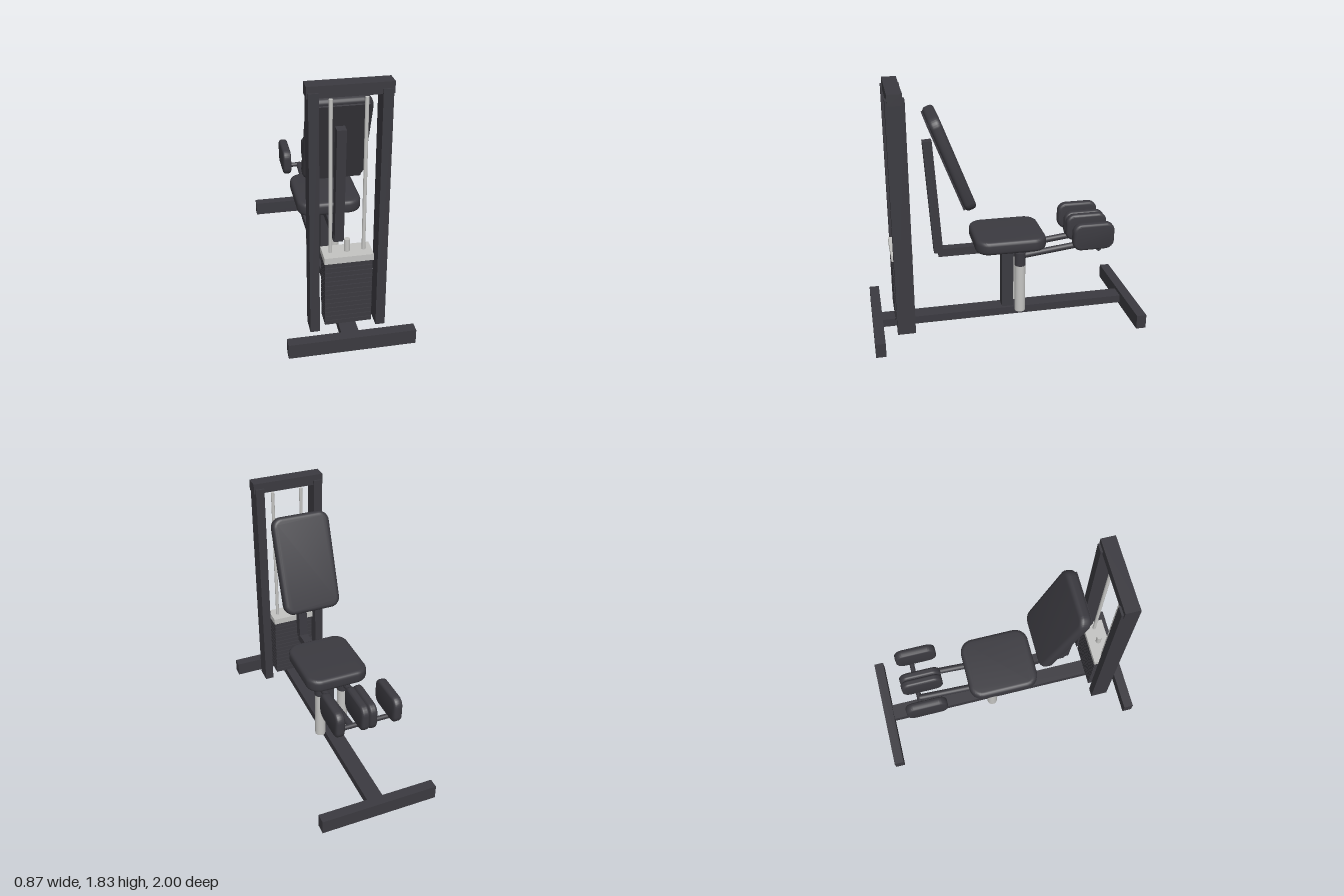
import * as THREE from 'three';
import { toCreasedNormals } from 'three/addons/utils/BufferGeometryUtils.js';

const dark = new THREE.MeshStandardMaterial({ color: 0x3b3a40 });
dark.name = 'charcoal';
const steel = new THREE.MeshStandardMaterial({ color: 0xc4c4c2 });
steel.name = 'lightSteel';

function add(parent, name, geometry, material, x = 0, y = 0, z = 0) {
  const mesh = new THREE.Mesh(geometry, material);
  mesh.name = name;
  mesh.position.set(x, y, z);
  parent.add(mesh);
  return mesh;
}

// Box given by its minimum and maximum on each axis
function box(parent, name, material, [x0, x1], [y0, y1], [z0, z1]) {
  return add(parent, name, new THREE.BoxGeometry(x1 - x0, y1 - y0, z1 - z0), material,
    (x0 + x1) / 2, (y0 + y1) / 2, (z0 + z1) / 2);
}

// Round bar between two points
function rod(parent, name, material, radius, from, to) {
  const a = new THREE.Vector3(...from), b = new THREE.Vector3(...to);
  const mesh = add(parent, name, new THREE.CylinderGeometry(radius, radius, a.distanceTo(b), 20), material);
  mesh.position.copy(a).add(b).multiplyScalar(0.5);
  mesh.quaternion.setFromUnitVectors(new THREE.Vector3(0, 1, 0), b.sub(a).normalize());
  return mesh;
}

// Cushion: rounded rectangle in XY with softened rims, centred, thickness along Z
function cushion(width, height, thickness, radius, bevel) {
  const w = width / 2 - bevel, h = height / 2 - bevel, r = radius - bevel;
  const s = new THREE.Shape();
  s.absarc(w - r, h - r, r, 0, Math.PI / 2);
  s.absarc(-w + r, h - r, r, Math.PI / 2, Math.PI);
  s.absarc(-w + r, -h + r, r, Math.PI, Math.PI * 1.5);
  s.absarc(w - r, -h + r, r, Math.PI * 1.5, Math.PI * 2);
  s.closePath();
  const g = new THREE.ExtrudeGeometry(s, {
    depth: thickness - 2 * bevel, bevelEnabled: true, bevelThickness: bevel,
    bevelSize: bevel, bevelSegments: 4, curveSegments: 8,
  });
  g.translate(0, 0, bevel - thickness / 2);
  return toCreasedNormals(g, 0.6);
}

export function createModel() {
  const model = new THREE.Group();
  model.name = 'legPressMachine';

  // Base: two cross feet and a spine
  const frame = new THREE.Group();
  frame.name = 'frame';
  model.add(frame);
  box(frame, 'frontFoot', dark, [-0.435, 0.435], [0, 0.107], [0.927, 1]);
  box(frame, 'rearFoot', dark, [-0.435, 0.435], [0, 0.107], [-1, -0.927]);
  box(frame, 'spine', dark, [-0.06, 0.06], [0.02, 0.08], [-0.93, 0.93]);

  // Weight tower
  for (const s of [-1, 1]) {
    const upright = box(frame, 'upright', dark, [0.195, 0.26], [0.06, 1.79], [0.7, 0.83]);
    upright.position.x *= s;
  }
  box(frame, 'topBar', dark, [-0.27, 0.27], [1.755, 1.832], [0.715, 0.818]);

  // Weight stack with guide rods
  const stack = new THREE.Group();
  stack.name = 'weightStack';
  model.add(stack);
  const plates = 14, pitch = 0.035;
  for (let i = 0; i < plates; i++) {
    const y = 0.112 + i * pitch;
    box(stack, 'weightPlate', dark, [-0.16, 0.16], [y, y + 0.03], [0.695, 0.835]);
  }
  box(stack, 'topPlate', steel, [-0.165, 0.165], [0.602, 0.648], [0.688, 0.842]);
  for (const x of [-0.112, 0.112]) {
    rod(stack, 'guideRod', steel, 0.0125, [x, 0.09, 0.765], [x, 1.725, 0.765]);
  }
  rod(stack, 'selectorRod', steel, 0.02, [0, 0.08, 0.765], [0, 0.738, 0.765]);

  // Seat and its supports
  const seat = new THREE.Group();
  seat.name = 'seat';
  model.add(seat);
  box(seat, 'seatPost', dark, [-0.04, 0.04], [0.07, 0.6], [-0.07, 0.016]);
  box(seat, 'seatBeam', dark, [-0.033, 0.033], [0.543, 0.605], [-0.07, 0.49]);
  const seatPad = add(seat, 'seatPad', cushion(0.47, 0.525, 0.1, 0.1, 0.028), dark, 0, 0.658, -0.028);
  seatPad.rotation.x = -Math.PI / 2;

  // Backrest on a slightly leaning post
  const backPost = add(seat, 'backPost', new THREE.BoxGeometry(0.065, 0.857, 0.066), dark, 0, 1.003, 0.516);
  backPost.rotation.x = 0.066;
  const backrest = new THREE.Group();
  backrest.name = 'backrest';
  backrest.position.set(0, 1.295, 0.389);
  backrest.rotation.x = 0.363;
  seat.add(backrest);
  add(backrest, 'backPad', cushion(0.44, 0.73, 0.085, 0.075, 0.028), dark);
  add(backrest, 'backingPlate', new THREE.BoxGeometry(0.38, 0.67, 0.02), dark, 0, 0, 0.045);

  // Mirrored swing arms with thigh pads
  for (const s of [-1, 1]) {
    const arm = new THREE.Group();
    arm.name = s > 0 ? 'leftArm' : 'rightArm';
    model.add(arm);
    const x = 0.09 * s;
    rod(arm, 'pivotPost', steel, 0.04, [x, 0.07, -0.11], [x, 0.455, -0.11]);
    rod(arm, 'pivotCollar', dark, 0.042, [x, 0.45, -0.11], [x, 0.555, -0.11]);
    rod(arm, 'swingArm', dark, 0.024, [x, 0.522, -0.11], [x, 0.588, -0.675]);
    rod(arm, 'padBar', dark, 0.018, [0.02 * s, 0.588, -0.675], [0.225 * s, 0.588, -0.675]);
    for (const px of [0.0285, 0.2125]) {
      const pad = add(arm, 'thighPad', cushion(0.312, 0.206, px < 0.1 ? 0.057 : 0.064, 0.065, 0.02),
        dark, px * s, 0.692, -0.631);
      pad.rotation.y = Math.PI / 2;
    }
  }
  return model;
}
